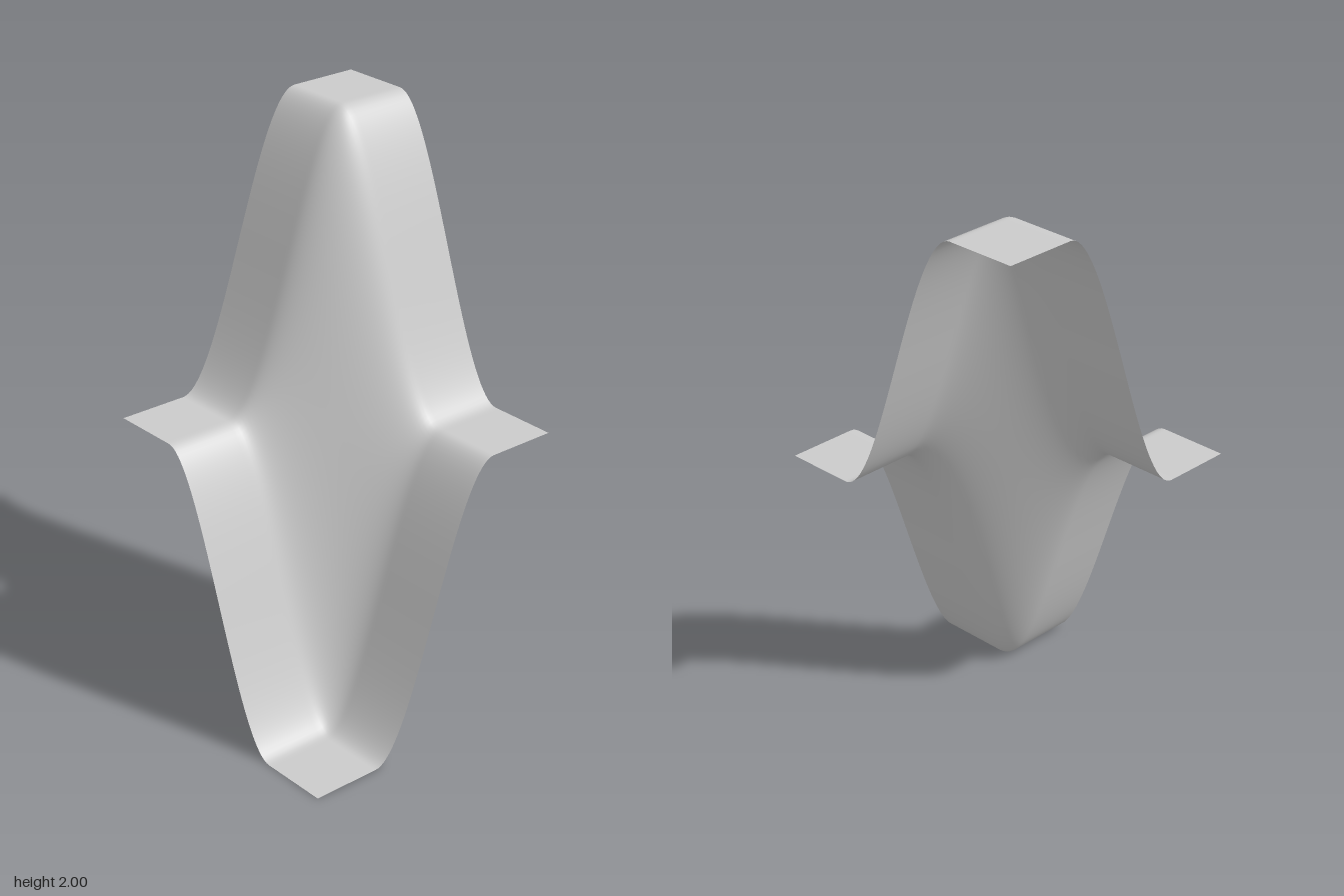
import * as THREE from 'three';

const RAMP = 0.25; // half width of each ramp

// Smooth 0..1 step, flat outside the ramp
const step = (v) => THREE.MathUtils.smoothstep(v, -RAMP, RAMP);

export function createModel() {
  const group = new THREE.Group();
  group.name = 'steppedSurface';

  // Unit sheet lifted by one step across x and one step towards the back
  const geometry = new THREE.PlaneGeometry(1, 1, 80, 80);
  geometry.rotateX(-Math.PI / 2);
  const position = geometry.attributes.position;
  for (let i = 0; i < position.count; i++) {
    position.setY(i, step(position.getX(i)) + step(-position.getZ(i)));
  }
  geometry.computeVertexNormals();

  const material = new THREE.MeshStandardMaterial({ color: 0xcccccc, side: THREE.DoubleSide });
  const sheet = new THREE.Mesh(geometry, material);
  sheet.name = 'curvedSheet';
  group.add(sheet);
  return group;
}
